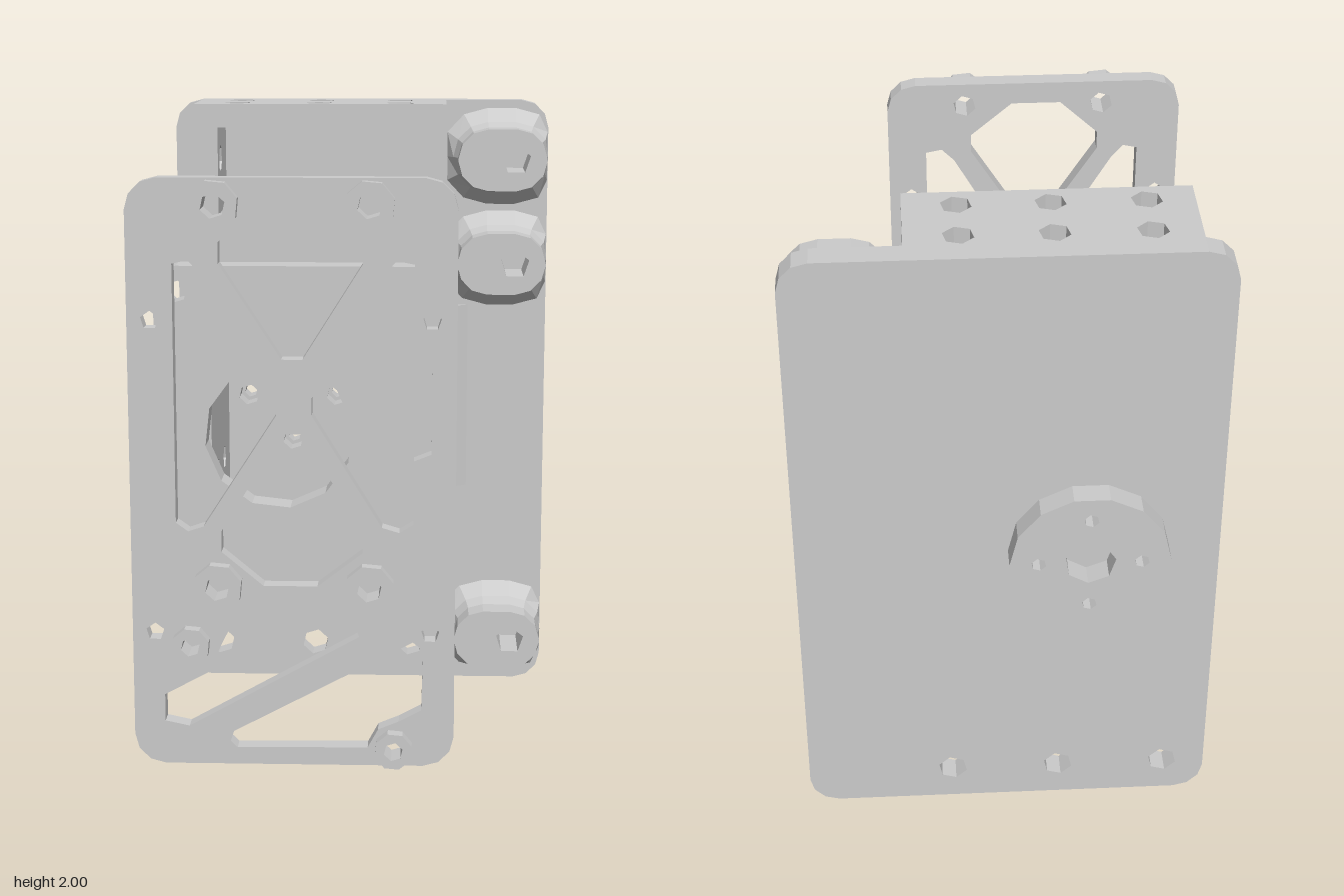
import * as THREE from 'three';

const material = new THREE.MeshStandardMaterial({ color: 0xcccccc, flatShading: true, side: THREE.DoubleSide });
const V = (x, y) => new THREE.Vector2(x, y);

// Regular polygon points, used for bores, bosses and discs
const ngon = (x, y, r, n = 6, turn = 0.3) => Array.from({ length: n }, (_, i) => {
  const a = turn + (i / n) * Math.PI * 2;
  return V(x + r * Math.cos(a), y + r * Math.sin(a));
});

// Rectangle with faceted round corners
function roundRect(x0, x1, y0, y1, r, seg = 3) {
  const pts = [];
  [[x1 - r, y1 - r], [x0 + r, y1 - r], [x0 + r, y0 + r], [x1 - r, y0 + r]].forEach(([cx, cy], k) => {
    for (let i = 0; i <= seg; i++) {
      const a = (k + i / seg) * Math.PI / 2;
      pts.push(V(cx + r * Math.cos(a), cy + r * Math.sin(a)));
    }
  });
  return pts;
}

const poly = list => list.map(([x, y]) => V(x, y));

function slab(outline, holes, depth) {
  const shape = new THREE.Shape(outline);
  holes.forEach(h => shape.holes.push(new THREE.Path(h)));
  return new THREE.ExtrudeGeometry(shape, { depth, bevelEnabled: false });
}

export function createModel() {
  const model = new THREE.Group();
  const add = (name, geometry, parent = model) => {
    const mesh = new THREE.Mesh(geometry, material);
    mesh.name = name;
    parent.add(mesh);
    return mesh;
  };
  // Extrusions along z, x (profile in z,y) and y (profile in x,z)
  const alongZ = (o, h, z0, z1) => slab(o, h, z1 - z0).translate(0, 0, z0);
  const alongX = (o, h, x0, x1) => slab(o, h, x1 - x0).rotateY(-Math.PI / 2).translate(x1, 0, 0);
  const alongY = (o, h, y0, y1) => slab(o, h, y1 - y0).rotateX(Math.PI / 2).translate(0, y1, 0);

  const hubX = -0.235, hubY = 1.0;
  const hubBolts = [[-0.15, 0], [0.15, 0], [0, 0.155], [0, -0.155]].map(([x, y]) => [hubX + x, hubY + y]);

  // Back plate with a row of bores along the bottom
  add('backPlate', alongZ(roundRect(-0.62, 0.62, 0, 2, 0.09), [
    ...[-0.49, -0.16, 0.17].map(x => ngon(x, 0.12, 0.045)),
    ...hubBolts.map(([x, y]) => ngon(x, y, 0.035)),
  ], -0.65, -0.575));

  // Round hub on the rear face
  add('rearHub', alongZ(ngon(hubX, hubY, 0.235, 14, 0), [
    ngon(hubX, hubY, 0.075, 7),
    ...hubBolts.map(([x, y]) => ngon(x, y, 0.022)),
  ], -0.72, -0.65));

  // Top bracket: drilled shelf with two legs
  const shelf = new THREE.Group();
  shelf.name = 'topBracket';
  model.add(shelf);
  const shelfHoles = [];
  for (const x of [-0.395, -0.13, 0.13]) for (const z of [-0.53, -0.37]) shelfHoles.push(ngon(x, z, 0.045));
  add('shelf', alongY(poly([[-0.53, -0.575], [0.28, -0.575], [0.28, -0.3], [-0.53, -0.3]]),
    shelfHoles, 1.925, 2), shelf);
  const legOutline = poly([[-0.575, 1.645], [-0.3, 1.645], [-0.3, 1.925], [-0.575, 1.925]]);
  add('rightLeg', alongX(legOutline, [ngon(-0.39, 1.82, 0.045)], -0.53, -0.455), shelf);
  add('leftLeg', alongX(legOutline, [], 0.2, 0.28), shelf);

  // Oval standoffs with a flared foot and an off-centre bore
  for (const y of [1.815, 1.475, 0.19]) {
    const standoff = new THREE.Group();
    standoff.name = 'standoff';
    model.add(standoff);
    const oval = grow => roundRect(0.32 - grow, 0.61 + grow, y - 0.1 - grow, y + 0.1 + grow, 0.099 + grow);
    add('standoffPost', alongZ(oval(0), [ngon(0.51, y, 0.048, 5)], -0.575, -0.39), standoff);
    const levels = [[0, -0.48], [0.015, -0.53], [0.06, -0.576]];
    const pos = [], index = [], n = oval(0).length;
    levels.forEach(([grow, z]) => oval(grow).forEach(p =>
      pos.push(THREE.MathUtils.clamp(p.x, 0.285, 0.618), Math.min(p.y, 1.99), z)));
    for (let k = 0; k < levels.length - 1; k++) for (let i = 0; i < n; i++) {
      const a = k * n + i, b = k * n + (i + 1) % n;
      index.push(a, a + n, b, b, a + n, b + n);
    }
    const foot = new THREE.BufferGeometry();
    foot.setAttribute('position', new THREE.Float32BufferAttribute(pos, 3));
    foot.setIndex(index);
    foot.computeVertexNormals();
    add('standoffFoot', foot, standoff);
  }

  // Middle mounting plate with a large round opening and corner bores
  const corners = [];
  for (const x of [-0.55, 0.24]) for (const y of [0.54, 1.45]) corners.push([x, y]);
  add('middlePlate', alongZ(roundRect(-0.62, 0.31, 0.42, 1.53, 0.07), [
    ngon(hubX, hubY, 0.232, 12, 0.15),
    ...corners.map(([x, y]) => ngon(x, y, 0.035)),
  ], 0.005, 0.105));

  // Side walls joining the middle plate to the back plate, flared at both ends
  const wall = poly([
    [-0.575, 0.65], [-0.555, 0.69], [-0.49, 0.72], [-0.08, 0.72], [-0.02, 0.69], [0.006, 0.63],
    [0.006, 1.37], [-0.02, 1.32], [-0.08, 1.285], [-0.49, 1.285], [-0.555, 1.32], [-0.575, 1.34],
  ]);
  const wallHoles = zs => zs.flatMap(z => [0.82, 1.19].map(y => ngon(z, y, 0.04)));
  add('rightWall', alongX(wall, wallHoles([-0.2, -0.4]), -0.53, -0.455));
  add('leftWall', alongX(wall, wallHoles([-0.042]), 0.2, 0.31));

  // Outer fillets of the walls
  const fillets = {
    rightFrontFillet: [[-0.53, -0.09], [-0.55, -0.035], [-0.61, 0.006], [-0.53, 0.006]],
    rightRearFillet: [[-0.53, -0.49], [-0.55, -0.53], [-0.615, -0.576], [-0.53, -0.576]],
    leftRearFillet: [[0.31, -0.5], [0.325, -0.55], [0.36, -0.576], [0.31, -0.576]],
  };
  for (const [name, pts] of Object.entries(fillets)) add(name, alongY(poly(pts), [], 0.69, 1.315));

  // Front plate with cross-braced openings
  const front = new THREE.Group();
  front.name = 'frontPanel';
  model.add(front);
  const openings = [
    [[-0.24, 1.78], [-0.085, 1.78], [0.045, 1.67], [0.045, 1.61], [-0.125, 1.34], [-0.185, 1.34], [-0.36, 1.61], [-0.36, 1.67]],
    [[-0.185, 1.125], [-0.125, 1.125], [0.045, 0.84], [0.045, 0.78], [-0.085, 0.68], [-0.24, 0.68], [-0.36, 0.78], [-0.36, 0.84]],
    [[-0.49, 1.61], [-0.445, 1.62], [-0.41, 1.58], [-0.2, 1.23], [-0.2, 1.18], [-0.41, 0.855], [-0.455, 0.84], [-0.49, 0.865]],
    [[0.19, 1.61], [0.14, 1.62], [0.1, 1.58], [-0.1, 1.23], [-0.1, 1.18], [0.1, 0.855], [0.15, 0.84], [0.19, 0.865],
      [0.19, 1.05], [0.24, 1.07], [0.24, 1.35], [0.19, 1.37]],
    [[-0.33, 0.57], [0.02, 0.57], [0.035, 0.53], [-0.46, 0.255], [-0.53, 0.27], [-0.53, 0.35], [-0.4, 0.42], [-0.365, 0.5]],
    [[-0.34, 0.21], [-0.32, 0.19], [0.06, 0.195], [0.09, 0.25], [0.15, 0.275], [0.215, 0.31], [0.22, 0.49], [0.19, 0.515], [-0.33, 0.24]],
  ];
  const bosses = [
    [-0.37, 1.775, 0.072], [0.065, 1.775, 0.072], [-0.37, 0.68, 0.072], [0.065, 0.68, 0.072],
    [-0.45, 0.505, 0.056], [0.135, 0.195, 0.056],
  ];
  add('frontPlate', alongZ(roundRect(-0.62, 0.31, 0.14, 1.85, 0.09), [
    ...openings.map(poly),
    ...bosses.map(([x, y, r]) => ngon(x, y, r * 0.5)),
    ...[[-0.555, 1.45], [0.24, 1.45], [-0.555, 0.54], [0.24, 0.54]].map(([x, y]) => ngon(x, y, 0.027, 5)),
  ], 0.625, 0.68), front);

  // Raised rings around the front screw holes
  for (const [x, y, r] of bosses)
    add('screwBoss', alongZ(ngon(x, y, r, 8), [ngon(x, y, r * 0.5)], 0.68, 0.718), front);

  return model;
}
